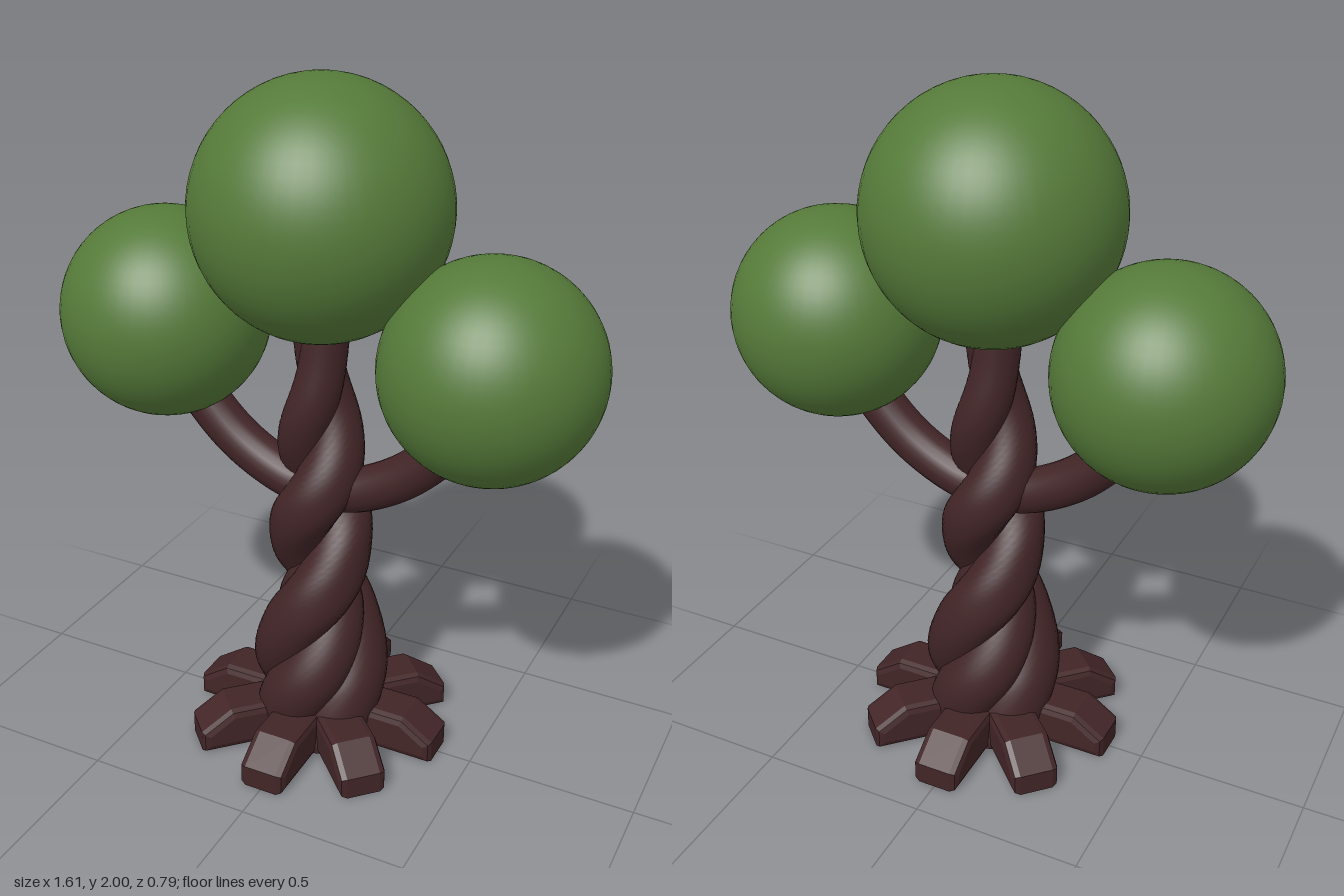
import * as THREE from 'three';

const bark = new THREE.MeshStandardMaterial({ color: 0x422527 });
bark.name = 'dark bark';
const leaf = new THREE.MeshStandardMaterial({ color: 0x557a39 });
leaf.name = 'leaf green';

function add(parent, name, geometry, material) {
  const mesh = new THREE.Mesh(geometry, material);
  mesh.name = name;
  parent.add(mesh);
  return mesh;
}

// Twisting strand; keys are [half turns, distance from axis, thickness] every 0.2 in height
function strandGeometry(keys, startAngle) {
  const curve = new THREE.CatmullRomCurve3(
    keys.map((k) => new THREE.Vector3(...k)), false, 'catmullrom', 0.5);
  const height = (keys.length - 1) * 0.2;
  const rings = (keys.length - 1) * 12;
  const sides = 28;
  const positions = [];
  const index = [];
  for (let i = 0; i <= rings; i++) {
    const t = i / rings;
    const { x: turn, y: offset, z: radius } = curve.getPoint(t);
    const ahead = curve.getPoint(Math.min(1, t + 0.01)).x;
    const behind = curve.getPoint(Math.max(0, t - 0.01)).x;
    const span = Math.min(1, t + 0.01) - Math.max(0, t - 0.01);
    const slope = (offset * Math.PI * (ahead - behind)) / (span * height);
    const stretch = Math.sqrt(1 + slope * slope);
    const angle = startAngle - Math.PI * turn;
    const c = Math.cos(angle);
    const s = Math.sin(angle);
    for (let j = 0; j < sides; j++) {
      const phi = (j / sides) * Math.PI * 2;
      const u = offset + radius * Math.cos(phi);
      const v = radius * stretch * Math.sin(phi);
      positions.push(u * c - v * s, 0.01 + t * height, u * s + v * c);
      if (i < rings) {
        const a = i * sides + j;
        const b = i * sides + ((j + 1) % sides);
        index.push(a, a + sides, b, b, a + sides, b + sides);
      }
    }
  }
  // Close the bottom and the top
  const top = rings * sides;
  for (let j = 1; j < sides - 1; j++) {
    index.push(0, j, j + 1, top, top + j + 1, top + j);
  }
  const geometry = new THREE.BufferGeometry();
  geometry.setAttribute('position', new THREE.Float32BufferAttribute(positions, 3));
  geometry.setIndex(index);
  geometry.computeVertexNormals();
  return geometry;
}

// Root block: side profile extruded across its width with bevelled edges
function rootGeometry() {
  const bevel = 0.022;
  const shape = new THREE.Shape();
  shape.moveTo(0, bevel);
  shape.lineTo(0.373, bevel);
  shape.lineTo(0.373, 0.055);
  shape.lineTo(0.295, 0.108);
  shape.lineTo(0, 0.108);
  shape.closePath();
  const width = 0.1;
  const geometry = new THREE.ExtrudeGeometry(shape, {
    depth: width, bevelEnabled: true, bevelThickness: bevel, bevelSize: bevel, bevelSegments: 2,
  });
  geometry.translate(0, 0, -width / 2);
  return geometry;
}

export function createModel() {
  const tree = new THREE.Group();
  tree.name = 'tree';

  // Trunk: two long strands wound together, two short ones thickening the foot
  const trunk = new THREE.Group();
  trunk.name = 'trunk';
  tree.add(trunk);
  const longKeys = [
    [-1.3, 0.1, 0.105], [-1, 0.1, 0.11], [-0.62, 0.08, 0.1], [-0.06, 0.062, 0.092],
    [0.55, 0.06, 0.09], [1.15, 0.042, 0.078], [1.7, 0.022, 0.067], [2.1, 0.02, 0.067],
  ];
  const shortKeys = [
    [-1.3, 0.1, 0.105], [-1, 0.1, 0.105], [-0.62, 0.065, 0.08], [-0.06, 0.02, 0.05],
  ];
  for (const side of [0, 1]) {
    add(trunk, 'trunkStrand', strandGeometry(longKeys, side * Math.PI), bark);
    add(trunk, 'footStrand', strandGeometry(shortKeys, (side + 0.5) * Math.PI), bark);
  }

  // Ring of eight roots
  const roots = new THREE.Group();
  roots.name = 'roots';
  tree.add(roots);
  const root = rootGeometry();
  for (let i = 0; i < 8; i++) {
    add(roots, 'root', root, bark).rotation.y = (i * Math.PI) / 4;
  }

  // Side branches with their foliage
  for (const [side, word] of [[1, 'left'], [-1, 'right']]) {
    const path = new THREE.CatmullRomCurve3([
      [0, 0.81], [0.12, 0.835], [0.26, 0.91], [0.37, 1.015], [0.45, 1.13],
    ].map(([x, y]) => new THREE.Vector3(side * x, y, 0)));
    add(tree, word + 'Branch', new THREE.TubeGeometry(path, 32, 0.066, 20), bark);
    add(tree, word + 'Foliage', new THREE.SphereGeometry(0.306, 48, 32), leaf)
      .position.set(side * 0.5, 1.275, 0);
  }

  // Crown
  add(tree, 'topFoliage', new THREE.SphereGeometry(0.357, 48, 32), leaf).position.y = 1.643;

  return tree;
}
